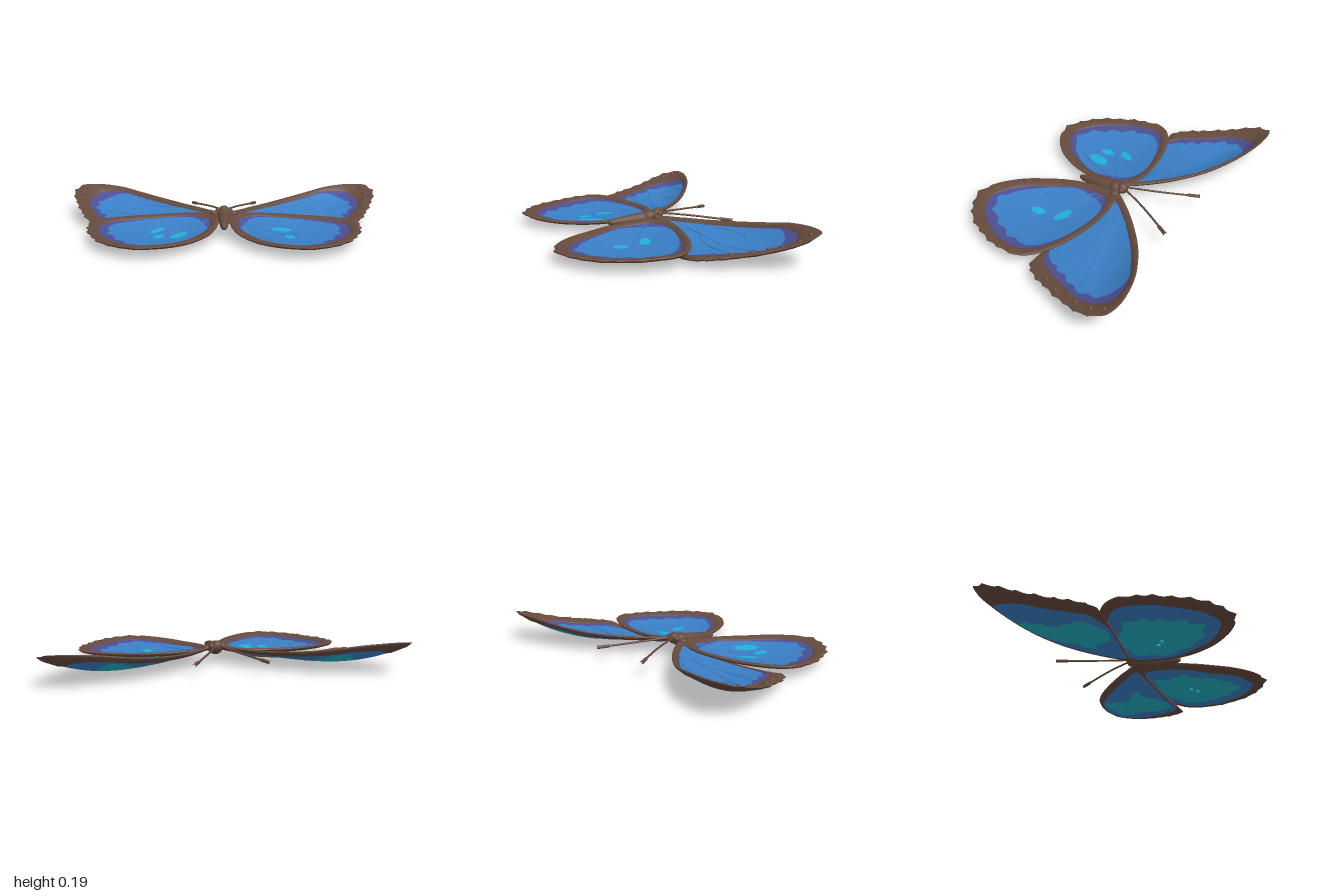
import * as THREE from 'three';

const mat = (name, color) => new THREE.MeshStandardMaterial({ name, color });
const brown = mat('brown border', 0x664b3d);
const blue = mat('wing blue', 0x3a7fc6);
const purple = mat('purple margin', 0x4c4f93);
const cyan = mat('cyan spots', 0x1fb0da);
const teal = mat('teal underside', 0x22b0c4);

// Wing outlines: x, z, height, brown border width, width to the blue field.
// patch: share of the underside field that is teal, and its extra reach along z
const FORE = {
  centre: [0.58, 0.05, -0.3], scallop: [7, 15], patch: [0.42, 0.5], points: [
    [0.05, -0.09, 0.10, 0.06, 0.075], [0.12, -0.20, 0.105, 0.065, 0.07],
    [0.25, -0.33, 0.11, 0.05, 0.055], [0.40, -0.45, 0.125, 0.036, 0.04],
    [0.55, -0.54, 0.148, 0.035, 0.04], [0.70, -0.605, 0.175, 0.04, 0.055],
    [0.86, -0.637, 0.19, 0.08, 0.145], [0.965, -0.615, 0.188, 0.135, 0.205],
    [1.00, -0.54, 0.17, 0.14, 0.205], [0.99, -0.45, 0.143, 0.12, 0.175],
    [0.96, -0.37, 0.12, 0.10, 0.145], [0.93, -0.28, 0.10, 0.10, 0.14],
    [0.89, -0.19, 0.085, 0.095, 0.14], [0.865, -0.12, 0.075, 0.10, 0.145],
    [0.82, -0.05, 0.065, 0.10, 0.145], [0.77, -0.01, 0.055, 0.08, 0.12],
    [0.60, 0.00, 0.027, 0.012, 0.02], [0.40, -0.02, 0.027, 0.012, 0.016],
    [0.20, -0.05, 0.05, 0.02, 0.025]]
};
const HIND = {
  centre: [0.38, 0.03, 0.2], scallop: [6, 14], patch: [0.78, 0.06], points: [
    [0.03, -0.08, 0.10, 0.08, 0.13], [0.15, -0.13, 0.095, 0.05, 0.065],
    [0.30, -0.137, 0.088, 0.04, 0.045], [0.50, -0.105, 0.084, 0.045, 0.055],
    [0.65, -0.05, 0.084, 0.05, 0.075], [0.75, 0.02, 0.085, 0.06, 0.10],
    [0.79, 0.11, 0.085, 0.068, 0.12], [0.785, 0.20, 0.082, 0.07, 0.13],
    [0.77, 0.28, 0.078, 0.07, 0.13], [0.73, 0.37, 0.075, 0.075, 0.135],
    [0.69, 0.455, 0.074, 0.085, 0.14], [0.62, 0.535, 0.074, 0.085, 0.14],
    [0.55, 0.585, 0.074, 0.085, 0.13], [0.45, 0.63, 0.075, 0.09, 0.13],
    [0.36, 0.605, 0.072, 0.085, 0.125], [0.27, 0.555, 0.068, 0.075, 0.11],
    [0.18, 0.47, 0.065, 0.07, 0.095], [0.115, 0.37, 0.065, 0.07, 0.08],
    [0.065, 0.26, 0.07, 0.06, 0.07], [0.035, 0.12, 0.08, 0.05, 0.065]]
};
const STEPS = 6;

// Samples the outline into radial spokes around the wing centre
function prepare(wing) {
  const curve = f => new THREE.CatmullRomCurve3(wing.points.map(f), true, 'catmullrom', 0.5);
  const edge = curve(p => new THREE.Vector3(p[0], p[2], p[1]));
  const inset = curve(p => new THREE.Vector3(p[3], p[4], 0));
  const centre = new THREE.Vector3(...wing.centre);
  const n = wing.points.length * STEPS;
  const spokes = [];
  for (let i = 0; i < n; i++) {
    const p = edge.getPoint(i / n), w = inset.getPoint(i / n), seg = i / STEPS;
    const r = Math.hypot(p.x - centre.x, p.z - centre.z), dz = (p.z - centre.z) / r;
    const outer = seg >= wing.scallop[0] && seg <= wing.scallop[1];
    const notch = outer ? 0.014 * Math.sin(Math.PI * (seg % 1)) : 0;
    const wave = outer ? 0.012 * Math.sin(Math.PI * seg) : 0;
    spokes.push({
      dx: (p.x - centre.x) / r, dz, y: p.y, r,
      edge: r - notch, border: r - w.x, field: r - w.y - wave,
      patch: (r - w.y) * (wing.patch[0] + wing.patch[1] * dz * dz + 0.05 * Math.sin(seg * 3.1))
    });
  }
  return { ...wing, centre, spokes };
}

const heightOnSpoke = (w, s, d) => w.centre.y + (s.y - w.centre.y) * (d / s.r) ** 2;

function heightAt(w, x, z) {
  const dx = x - w.centre.x, dz = z - w.centre.z;
  const s = w.spokes.reduce((a, b) => (b.dx * dx + b.dz * dz > a.dx * dx + a.dz * dz ? b : a));
  return heightOnSpoke(w, s, Math.hypot(dx, dz));
}

// Lofts consecutive rings; each ring is [distance along spoke, height offset]
function band(name, w, rings, material, side, under) {
  const pos = [], index = [], n = w.spokes.length;
  for (const [dist, lift] of rings) for (const s of w.spokes) {
    const d = dist(s);
    pos.push(side * (w.centre.x + s.dx * d), heightOnSpoke(w, s, d) + lift, w.centre.z + s.dz * d);
  }
  const flip = under !== (side < 0);
  for (let k = 0; k + 1 < rings.length; k++) for (let i = 0; i < n; i++) {
    const j = (i + 1) % n, a = k * n + i, b = k * n + j, c = a + n, d = b + n;
    if (flip) index.push(a, b, c, b, d, c);
    else index.push(a, c, b, b, c, d);
  }
  const g = new THREE.BufferGeometry();
  g.setAttribute('position', new THREE.Float32BufferAttribute(pos, 3));
  g.setIndex(index);
  g.computeVertexNormals();
  const m = new THREE.Mesh(g, material);
  m.name = name;
  return m;
}

function tube(name, points, radius, material) {
  const m = new THREE.Mesh(new THREE.TubeGeometry(new THREE.CatmullRomCurve3(points), 14, radius, 6), material);
  m.name = name;
  return m;
}

function ball(name, material, p, r, scale = [1, 1, 1]) {
  const m = new THREE.Mesh(new THREE.SphereGeometry(r, 14, 10), material);
  m.name = name;
  m.position.set(...p);
  m.scale.set(...scale);
  return m;
}

function buildWing(name, w, side, veins) {
  const g = new THREE.Group();
  g.name = name;
  const shrink = key => [1, 0.83, 0.67, 0.5, 0.33, 0.17, 0].map(q => s => s[key] * q);
  const edge = s => s.edge, border = s => s.border, field = s => s.field, patch = s => s.patch;
  const mix = t => s => s.edge + (s.border - s.edge) * t;
  // Upper face
  g.add(band('upperBorder', w, [[edge, 0], [mix(0.12), 0.009], [mix(0.5), 0.013], [mix(0.9), 0.011], [border, 0.005]], brown, side, false));
  g.add(band('upperMargin', w, [[border, 0.005], [field, 0.005]], purple, side, false));
  g.add(band('upperField', w, shrink('field').map(f => [f, 0.005]), blue, side, false));
  // Lower face
  g.add(band('lowerBorder', w, [[edge, 0], [mix(0.15), -0.008], [mix(0.8), -0.01], [border, -0.005]], brown, side, true));
  g.add(band('lowerField', w, [[border, -0.005], [field, -0.005], [s => (s.field + s.patch) / 2, -0.005], [patch, -0.005]], blue, side, true));
  g.add(band('lowerPatch', w, shrink('patch').map(f => [f, -0.005]), teal, side, true));
  // Fine raised veins on the upper face
  for (const v of veins) {
    const pts = new THREE.CatmullRomCurve3(v.map(([x, z]) => new THREE.Vector3(x, 0, z))).getPoints(8);
    pts.forEach(p => { p.y = heightAt(w, p.x, p.z) + 0.0055; p.x *= side; });
    g.add(tube('vein', pts, 0.003, blue));
  }
  return g;
}

// Thin oval laid on the upper face of a wing
function spot(w, side, x, z, rx, rz, turn) {
  const g = new THREE.CircleGeometry(1, 18).rotateX(-Math.PI / 2).scale(rx, 1, rz).rotateY(turn);
  g.translate(side * x, 0, z);
  const p = g.attributes.position;
  for (let i = 0; i < p.count; i++) p.setY(i, heightAt(w, side * p.getX(i), p.getZ(i)) + 0.0095);
  g.computeVertexNormals();
  const m = new THREE.Mesh(g, cyan);
  m.name = 'wingSpot';
  return m;
}

export function createModel() {
  const model = new THREE.Group();
  model.name = 'butterfly';
  const fore = prepare(FORE), hind = prepare(HIND);
  const foreVeins = [
    [[0.25, -0.28], [0.38, -0.36], [0.5, -0.41], [0.6, -0.4]],
    [[0.48, -0.47], [0.52, -0.43], [0.58, -0.39]],
    [[0.15, -0.17], [0.35, -0.23], [0.55, -0.27], [0.78, -0.34]],
    [[0.25, -0.25], [0.38, -0.22], [0.48, -0.2], [0.72, -0.2]]];
  const hindVeins = [
    [[0.28, 0.0], [0.35, 0.08], [0.43, 0.18]],
    [[0.1, -0.02], [0.24, 0.11], [0.38, 0.18]],
    [[0.09, 0.0], [0.18, 0.2], [0.27, 0.38]]];

  for (const side of [1, -1]) {
    const label = side > 0 ? 'left' : 'right';
    const fw = buildWing(label + 'Forewing', fore, side, foreVeins);
    const hw = buildWing(label + 'Hindwing', hind, side, hindVeins);
    // Raised dots on the forewing margin
    for (const [x, z] of [[0.92, -0.58], [0.93, -0.51], [0.92, -0.42], [0.89, -0.36], [0.885, -0.27], [0.84, -0.18]])
      fw.add(ball('marginDot', brown, [side * x, heightAt(fore, x, z) + 0.011, z], 0.012));
    // Low lumps below the hindwing
    for (const [x, z] of [[0.33, 0.17], [0.37, 0.2]])
      hw.add(ball('lowerLump', teal, [side * x, 0.02, z], 0.012));
    hw.add(spot(hind, side, 0.37, 0.24, 0.03, 0.045, 0));
    model.add(fw, hw);

    // Wing root, eye and antenna
    model.add(ball(label + 'WingRoot', brown, [side * 0.055, 0.107, -0.085], 0.024, [1.3, 0.6, 1.1]));
    model.add(ball(label + 'Eye', brown, [side * 0.034, 0.118, -0.115], 0.018));
    const A = (x, y, z) => new THREE.Vector3(side * x, y, z);
    model.add(tube(label + 'Antenna', [A(0.012, 0.12, -0.13), A(0.085, 0.108, -0.29), A(0.2, 0.088, -0.5)], 0.006, brown));
    model.add(tube(label + 'AntennaClub', [A(0.172, 0.093, -0.447), A(0.207, 0.087, -0.51)], 0.01, brown));
  }
  // Uneven spots: one broad pair on each hindwing
  model.add(spot(hind, 1, 0.335, 0.09, 0.06, 0.032, -0.3));
  model.add(spot(hind, -1, 0.39, 0.11, 0.025, 0.06, -0.6));
  model.add(spot(hind, -1, 0.258, 0.235, 0.042, 0.075, -0.45));

  // Head, thorax and tapering abdomen
  model.add(ball('head', brown, [0, 0.115, -0.105], 0.034));
  model.add(ball('thorax', brown, [0, 0.1, -0.06], 0.044, [1, 0.9, 1.2]));
  const profile = [[0.0, 0], [0.012, 0.004], [0.019, 0.025], [0.027, 0.09], [0.033, 0.16], [0.036, 0.21], [0.03, 0.26], [0, 0.28]];
  const abdomen = new THREE.Mesh(new THREE.LatheGeometry(profile.map(p => new THREE.Vector2(...p)), 16), brown);
  abdomen.name = 'abdomen';
  abdomen.rotation.x = -Math.PI / 2 + 0.06;
  abdomen.position.set(0, 0.08, 0.2);
  model.add(abdomen);
  return model;
}
